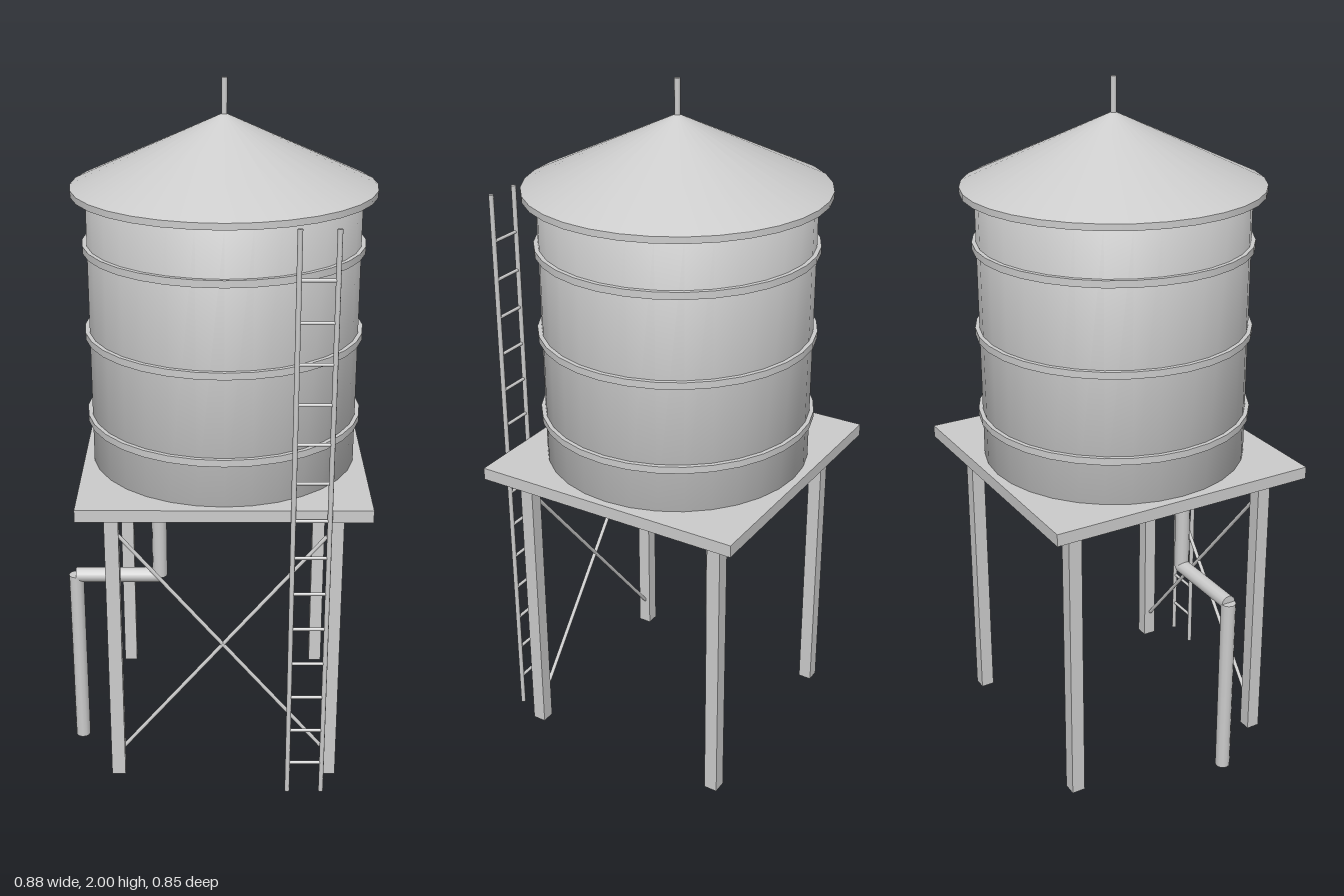
import * as THREE from 'three';
import { mergeVertices } from 'three/addons/utils/BufferGeometryUtils.js';

export function createModel() {
  const model = new THREE.Group();
  model.name = 'waterTower';
  const grey = new THREE.MeshStandardMaterial({ color: 0xcccccc });
  grey.name = 'pale grey';
  const cx = 0.017; // axis of the tower; the drain pipe sticks out on one side

  const add = (name, geometry, x, y, z, parent = model) => {
    const mesh = new THREE.Mesh(geometry, grey);
    mesh.name = name;
    mesh.position.set(x, y, z);
    parent.add(mesh);
    return mesh;
  };

  // Round bar between two points
  const bar = (name, from, to, radius, sides, parent = model) => {
    const a = new THREE.Vector3(...from), b = new THREE.Vector3(...to);
    const dir = b.clone().sub(a);
    const mesh = add(name, new THREE.CylinderGeometry(radius, radius, dir.length(), sides), 0, 0, 0, parent);
    mesh.position.copy(a).add(b).multiplyScalar(0.5);
    mesh.quaternion.setFromUnitVectors(new THREE.Vector3(0, 1, 0), dir.normalize());
    return mesh;
  };

  // Platform on four square legs
  add('platform', new THREE.BoxGeometry(0.81, 0.036, 0.81), cx, 0.898, 0);
  for (const sx of [-1, 1]) for (const sz of [-1, 1]) {
    add('leg', new THREE.BoxGeometry(0.04, 0.88, 0.04), cx + sx * 0.313, 0.44, sz * 0.313);
  }

  // Tank with normals shared between wall and ends for soft shading
  let tank = new THREE.CylinderGeometry(0.383, 0.383, 0.785, 32);
  tank.deleteAttribute('normal');
  tank.deleteAttribute('uv');
  tank = mergeVertices(tank);
  tank.computeVertexNormals();
  add('tank', tank, cx, 1.3075, 0);

  // Hoops around the tank
  for (const y of [1.05, 1.298, 1.547]) {
    add('hoop', new THREE.CylinderGeometry(0.395, 0.395, 0.02, 32), cx, y, 0);
  }

  // Conical roof, its rim and the finial rod
  add('roof', new THREE.ConeGeometry(0.423, 0.195, 32), cx, 1.8095, 0);
  add('roofRim', new THREE.CylinderGeometry(0.423, 0.423, 0.018, 32), cx, 1.703, 0);
  bar('finial', [cx, 1.89, 0], [cx, 2, 0], 0.008, 12);

  // Ladder
  const ladder = new THREE.Group();
  ladder.name = 'ladder';
  model.add(ladder);
  for (const x of [0.204, 0.303]) bar('ladderRail', [x, 0, 0.411], [x, 1.695, 0.411], 0.007, 8, ladder);
  for (let i = 0; i < 14; i++) {
    const y = 0.1 + i * 0.1125;
    bar('ladderRung', [0.204, y, 0.411], [0.303, y, 0.411], 0.005, 8, ladder);
  }

  // Crossed braces on the front legs
  bar('brace', [-0.28, 0.085, 0.313], [0.305, 0.79, 0.313], 0.006, 8);
  bar('brace', [-0.28, 0.795, 0.313], [0.305, 0.09, 0.313], 0.006, 8);

  // Drain pipe stepping out from under the platform
  const z = 0.126;
  bar('drainPipe', [-0.172, 0.565, z], [-0.172, 0.885, z], 0.022, 12);
  bar('drainPipe', [-0.421, 0.565, z], [-0.172, 0.565, z], 0.022, 12);
  bar('drainPipe', [-0.421, 0, z], [-0.421, 0.565, z], 0.022, 12);

  return model;
}
